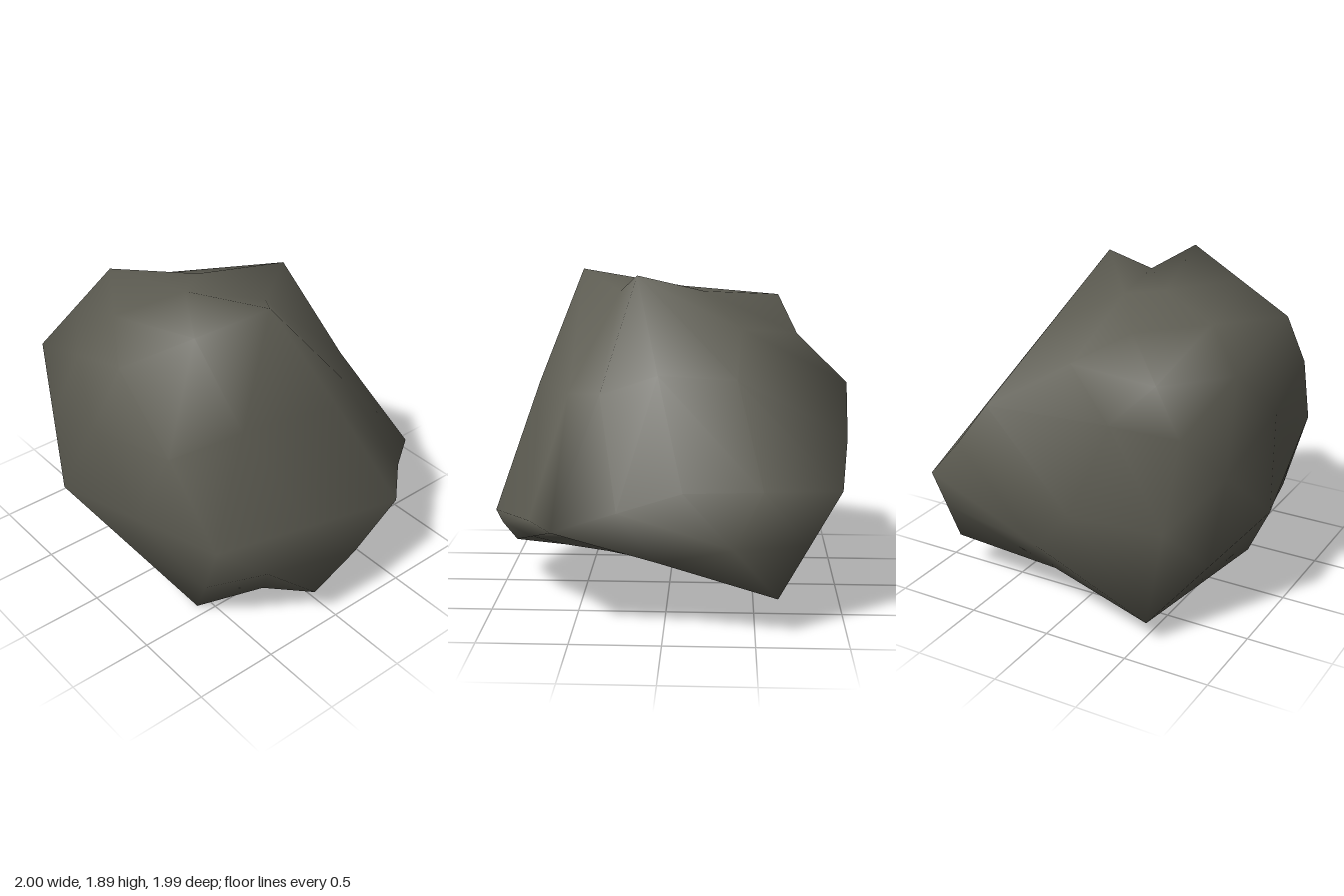
import * as THREE from 'three';
import { ConvexGeometry } from 'three/addons/geometries/ConvexGeometry.js';
import { mergeVertices } from 'three/addons/utils/BufferGeometryUtils.js';

const V = (p) => new THREE.Vector3(...p);

// ends of the base edge that is turned to make the hollow under the front
const FRONT_FOOT = V([-0.13, 0.22, 0.95]);
const SIDE_FOOT = V([0.86, 0.22, -0.62]);

// main corners of the boulder
const CORNERS = [
  ...[
    [-0.13, 1.89, 0.51], [0.26, 1.89, 0.17],                          // twin peaks
    [-0.87, 1.66, 0.18], [-0.35, 1.72, -0.64],                        // top rim
    [0.34, 1.31, -1.0], [-0.73, 1.27, -0.83], [0.77, 0.8, -0.96],     // back
    [-1.0, 0.68, -0.26], [-0.77, 0.79, 0.85],                         // -x side
    [1.0, 0.84, -0.11], [0.94, 0.6, 0.59], [0.48, 0.59, 0.96],        // +x side and front
    [-0.58, 0, 0.43], [-0.54, 0.14, -0.83],                           // base
  ].map(V), FRONT_FOOT, SIDE_FOOT,
];

// dents and bulges: an edge midpoint close to one of these moves onto it
const DENTS = [
  [0.04, 1.78, 0.28],                              // notch between the peaks
  [-0.05, 1.77, -0.2], [-0.24, 1.78, -0.07],       // saddle behind the peaks
  [-0.03, 1.53, -0.74], [-0.33, 1.28, -0.86], [0.55, 1.04, -0.995],
  [0.57, 1.38, 0.04], [0.56, 1.27, 0.36],
  [0.95, 0.52, -0.38], [0.88, 0.42, 0.02], [0.72, 0.6, 0.74],
  [0.15, 0.15, -0.1], [0.12, 0.24, -0.71], [0.14, 0.32, 0.5], [-0.28, 0.14, 0.67],
  [0.13, 0.41, 0.99], [0.17, 1.27, 0.74],
  [-0.84, 1.27, 0.55], [-0.7, 0.38, 0.66], [-0.92, 1.18, -0.04],
].map(V);

// swap the edge p-q for the other diagonal of its two triangles
function turnEdge(geometry, p, q) {
  const pos = geometry.attributes.position;
  const index = geometry.index.array;
  const find = (v) => {
    for (let i = 0; i < pos.count; i++) {
      if (new THREE.Vector3().fromBufferAttribute(pos, i).distanceTo(v) < 1e-3) return i;
    }
    return -1;
  };
  const [a, b] = [find(p), find(q)];
  // first index of the triangle holding the edge in this direction, and its third corner
  const side = (from, to) => {
    for (let i = 0; i < index.length; i++) {
      const start = i - (i % 3);
      if (index[i] === from && index[start + ((i + 1) % 3)] === to) {
        return [start, index[start + ((i + 2) % 3)]];
      }
    }
    return null;
  };
  const [one, two] = [side(a, b), side(b, a)];
  if (!one || !two) return;
  index.set([a, two[1], one[1]], one[0]);
  index.set([two[1], b, one[1]], two[0]);
}

// split every triangle in four, moving the new points by the dents
function subdivide(geometry) {
  const pos = geometry.attributes.position;
  const index = geometry.index.array;
  const points = [];
  for (let i = 0; i < pos.count; i++) points.push(new THREE.Vector3().fromBufferAttribute(pos, i));
  const cache = new Map();
  const middle = (a, b) => {
    const key = Math.min(a, b) + '_' + Math.max(a, b);
    if (!cache.has(key)) {
      const m = points[a].clone().lerp(points[b], 0.5);
      const dent = DENTS.find((d) => d.distanceTo(m) < 0.17);
      cache.set(key, points.push(dent ? dent.clone() : m) - 1);
    }
    return cache.get(key);
  };
  const faces = [];
  for (let i = 0; i < index.length; i += 3) {
    const [a, b, c] = [index[i], index[i + 1], index[i + 2]];
    const [ab, bc, ca] = [middle(a, b), middle(b, c), middle(c, a)];
    faces.push(a, ab, ca, ab, b, bc, ca, bc, c, ab, bc, ca);
  }
  const result = new THREE.BufferGeometry().setFromPoints(points);
  result.setIndex(faces);
  return result;
}

export function createModel() {
  const stone = new THREE.MeshStandardMaterial({ color: 0x5e5d53 });
  stone.name = 'darkStone';

  const hull = new ConvexGeometry(CORNERS);
  hull.deleteAttribute('normal');
  const cage = mergeVertices(hull, 1e-4);
  turnEdge(cage, FRONT_FOOT, SIDE_FOOT);
  const geometry = subdivide(cage);
  geometry.computeVertexNormals(); // smooth shading over the coarse facets

  const boulder = new THREE.Mesh(geometry, stone);
  boulder.name = 'boulder';

  const group = new THREE.Group();
  group.name = 'rock';
  group.add(boulder);
  return group;
}
